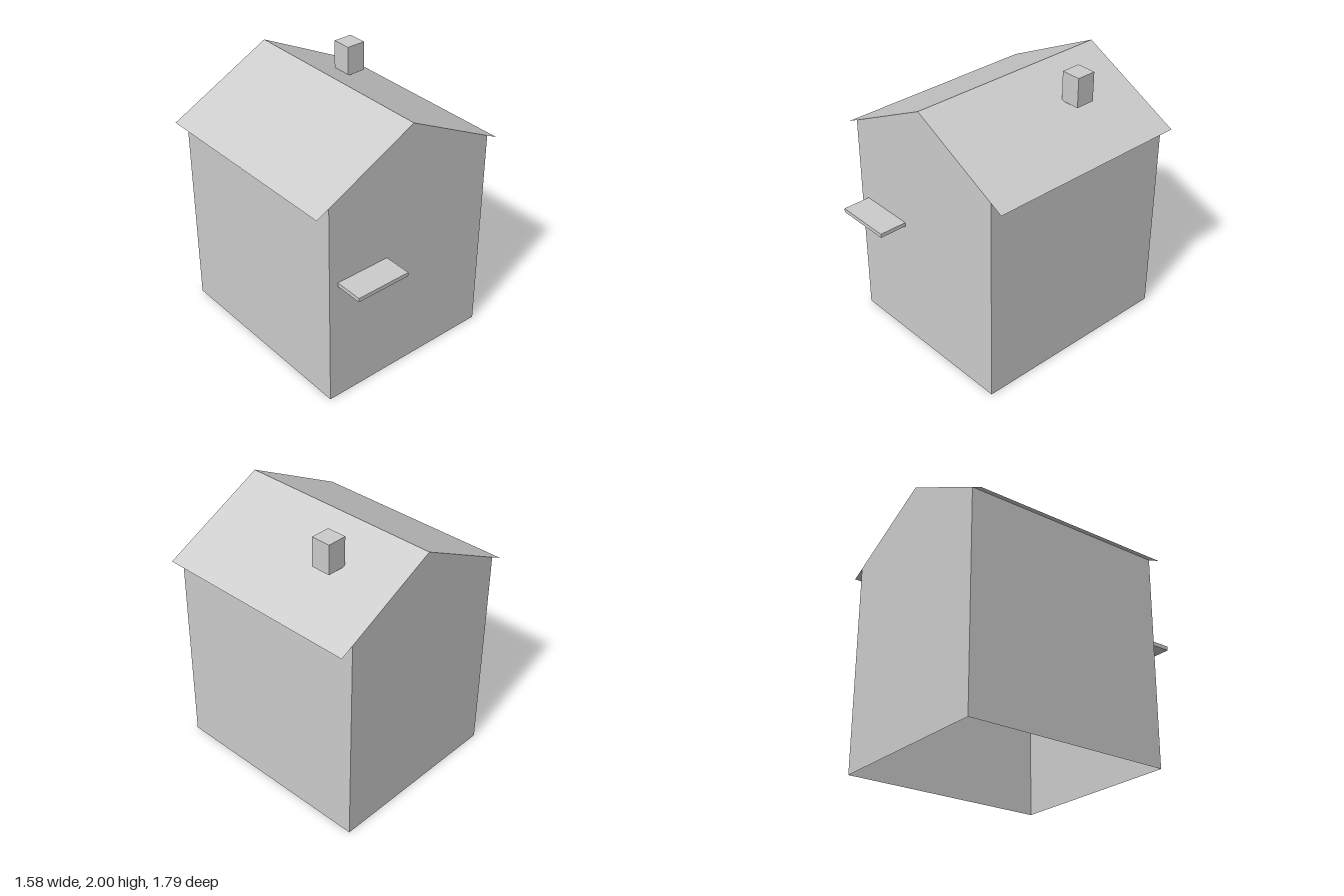
import * as THREE from 'three';

const HALF_W = 0.695, RIDGE = 1.94, EAVE_X = 0.79, EAVE_Y = 1.54;
const FRONT = 0.685, BACK = -0.895;
const DEPTH = FRONT - BACK, MID_Z = (FRONT + BACK) / 2;
const WALL_TOP = RIDGE - (RIDGE - EAVE_Y) * HALF_W / EAVE_X;

export function createModel() {
  const house = new THREE.Group();
  house.name = 'house';
  const material = new THREE.MeshStandardMaterial({
    color: 0xcccccc, flatShading: true, side: THREE.DoubleSide,
  });

  const add = (name, geometry, x, y, z) => {
    const mesh = new THREE.Mesh(geometry, material);
    mesh.name = name;
    mesh.position.set(x, y, z);
    house.add(mesh);
    return mesh;
  };
  const box = (name, w, h, d, x, y, z) => add(name, new THREE.BoxGeometry(w, h, d), x, y, z);

  // Gable walls, thin sheets that reach up to the ridge
  const gable = new THREE.Shape([
    [-HALF_W, 0], [HALF_W, 0], [HALF_W, WALL_TOP], [0, RIDGE], [-HALF_W, WALL_TOP],
  ].map(([x, y]) => new THREE.Vector2(x, y)));
  add('frontWall', new THREE.ShapeGeometry(gable), 0, 0, FRONT);
  add('backWall', new THREE.ShapeGeometry(gable), 0, 0, BACK).rotation.y = Math.PI;

  // Side walls, roof slopes and recessed side windows, mirrored; the base is open
  const slope = Math.hypot(EAVE_X, RIDGE - EAVE_Y);
  const pitch = Math.atan2(RIDGE - EAVE_Y, EAVE_X);
  for (const [side, s] of [['left', 1], ['right', -1]]) {
    const wall = new THREE.PlaneGeometry(DEPTH, WALL_TOP).rotateY(s * Math.PI / 2);
    add(side + 'Wall', wall, s * HALF_W, WALL_TOP / 2, MID_Z);

    const roof = new THREE.PlaneGeometry(slope, DEPTH)
      .rotateX(-Math.PI / 2).rotateZ(-s * pitch);
    add(side + 'Roof', roof, s * EAVE_X / 2, (RIDGE + EAVE_Y) / 2, MID_Z);

    box(side + 'Window', 0.07, 0.4, 0.2, s * (HALF_W - 0.04), 0.84, MID_Z);
  }

  // Panel behind the front wall, with the flat canopy above it outside
  box('frontPanel', 0.2, 0.4, 0.07, -0.41, 0.66, FRONT - 0.04);
  box('canopy', 0.425, 0.03, 0.895 - FRONT, -0.412, 0.967, (0.895 + FRONT) / 2);

  // Chimney on the left roof slope
  box('chimney', 0.147, 0.22, 0.147, 0.371, 1.89, -0.385);

  return house;
}
